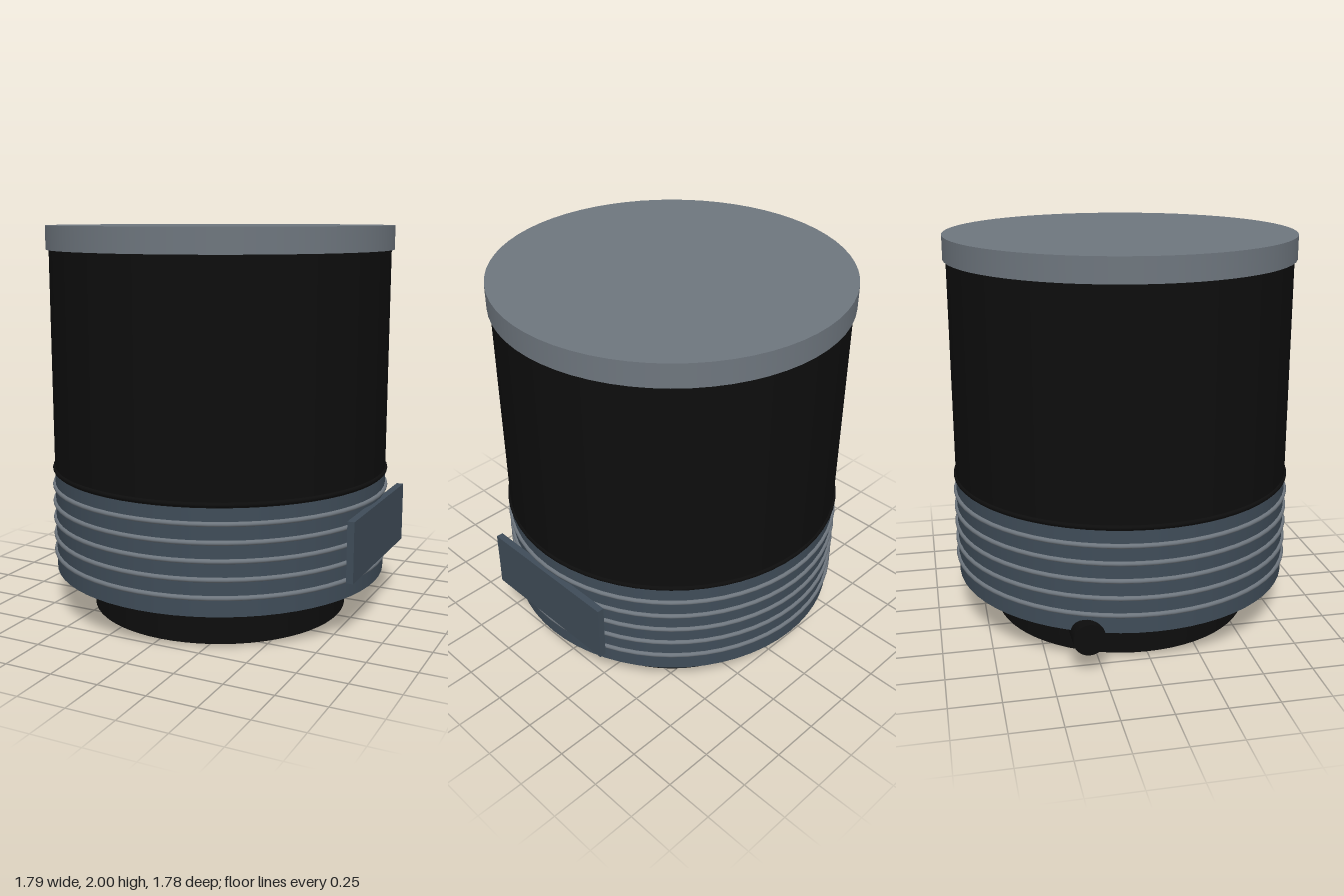
import * as THREE from 'three';

export function createModel() {
  const model = new THREE.Group();
  const material = (name, color) => {
    const m = new THREE.MeshStandardMaterial({ color });
    m.name = name;
    return m;
  };
  const black = material('black', 0x0d0d0d);
  const slate = material('slate', 0x3f4c58);
  const grey = material('grey', 0x6e767e);
  const CX = -0.003; // the side plate shifts the barrel slightly off centre

  const add = (name, geometry, mat, x, y, z = 0) => {
    const mesh = new THREE.Mesh(geometry, mat);
    mesh.name = name;
    mesh.position.set(x, y, z);
    model.add(mesh);
    return mesh;
  };
  const drum = (name, radius, y0, y1, mat) =>
    add(name, new THREE.CylinderGeometry(radius, radius, y1 - y0, 64), mat, CX, (y0 + y1) / 2);
  const ring = (name, radius, tube, y, mat) => {
    const mesh = add(name, new THREE.TorusGeometry(radius, tube, 10, 64), mat, CX, y);
    mesh.rotation.x = Math.PI / 2;
  };

  // Stacked round body
  drum('base', 0.677, 0, 0.22, black);
  drum('lowerBand', 0.875, 0.216, 0.74, slate);
  drum('barrel', 0.875, 0.74, 1.885, black);
  drum('lid', 0.89, 1.88, 2, grey);

  // Rings around the lower band
  for (let i = 0; i < 5; i++) ring('gripRing' + (i + 1), 0.877, 0.012, 0.309 + i * 0.0888, grey);
  ring('seamRing', 0.874, 0.012, 0.755, black);

  // Flat plate on the left side
  add('sidePlate', new THREE.BoxGeometry(0.035, 0.305, 0.8), slate, 0.875, 0.485);

  // Round connector poking out low on the right side, towards the back
  const connector = add('connector', new THREE.CylinderGeometry(0.08, 0.08, 0.33, 24), black, -0.705, 0.2, -0.32);
  connector.rotation.z = Math.PI / 2;

  return model;
}
